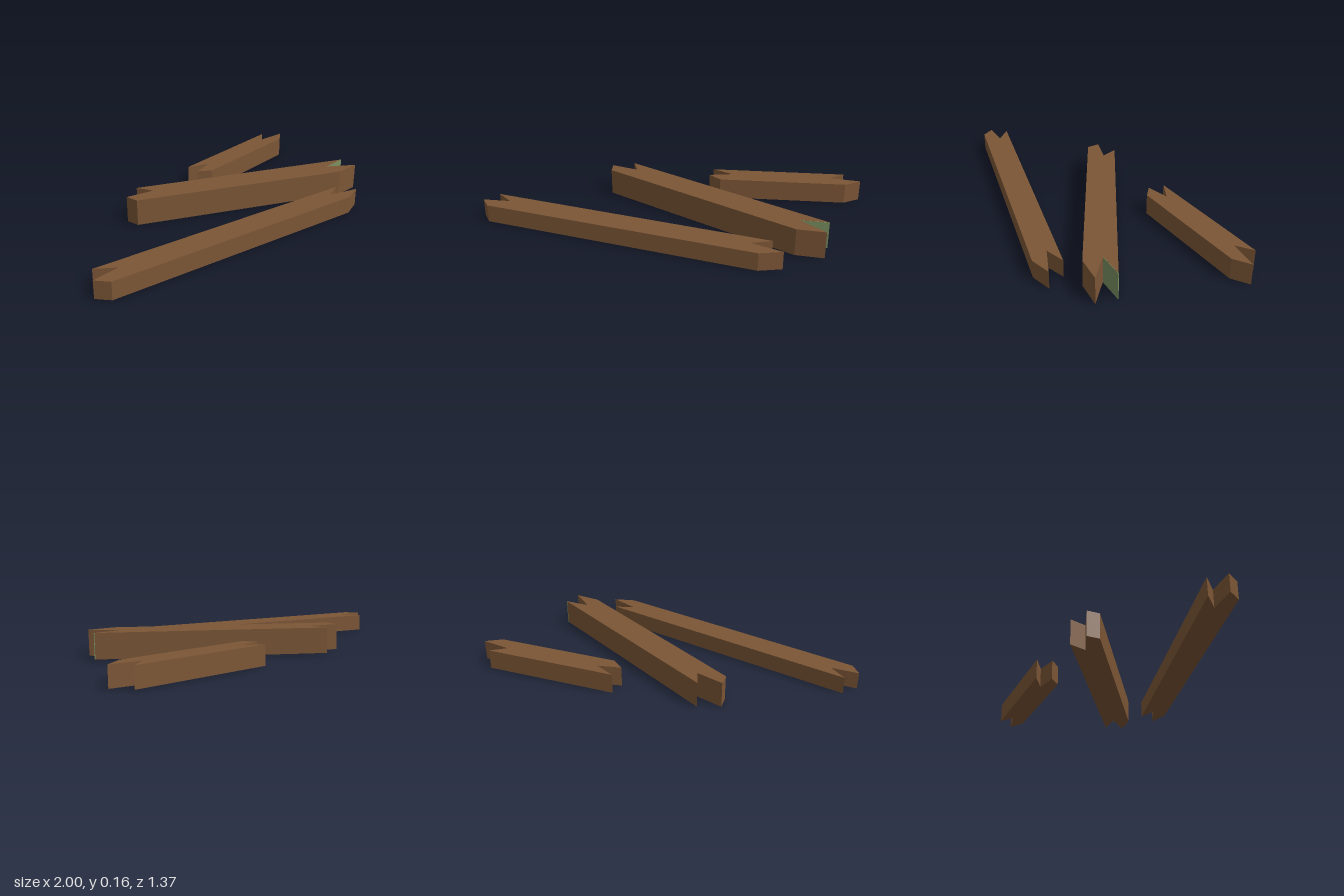
import * as THREE from 'three';

// Each plank is an [x, z] outline with splintered, notched ends, plus a height.
const planks = [
  {
    name: 'backPlank', height: 0.125,
    outline: [[0.067, -0.384], [0.853, -0.684], [0.789, -0.588], [0.976, -0.626],
      [0.906, -0.533], [0.174, -0.254], [0.083, -0.288], [0.211, -0.367]],
  },
  {
    name: 'middlePlank', height: 0.16,
    outline: [[-0.405, -0.167], [0.978, 0.079], [0.821, 0.13], [0.998, 0.2],
      [0.839, 0.24], [-0.479, 0.0], [-0.511, -0.075], [-0.334, -0.081]],
  },
  {
    name: 'frontPlank', height: 0.106,
    outline: [[-0.963, 0.522], [0.741, 0.326], [0.639, 0.402], [0.832, 0.412],
      [0.719, 0.487], [-0.926, 0.683], [-1.0, 0.627], [-0.842, 0.574]],
  },
];

export function createModel() {
  const wood = new THREE.MeshStandardMaterial({ color: 0x7c5636 });
  wood.name = 'brown wood';
  const moss = new THREE.MeshStandardMaterial({ color: 0x7a9060 });
  moss.name = 'green moss';

  const model = new THREE.Group();
  model.name = 'brokenPlanks';

  // Planks: outlines extruded upwards from the ground
  for (const { name, height, outline } of planks) {
    const shape = new THREE.Shape(outline.map(([x, z]) => new THREE.Vector2(x, -z)));
    const geometry = new THREE.ExtrudeGeometry(shape, { depth: height, bevelEnabled: false });
    geometry.rotateX(-Math.PI / 2);
    const plank = new THREE.Mesh(geometry, wood);
    plank.name = name;
    model.add(plank);
  }

  // Green face inside the right-hand notch of the middle plank
  const { outline, height } = planks[1];
  const [[tipX, tipZ], [notchX, notchZ]] = [outline[1], outline[2]];
  const dx = tipX - notchX, dz = tipZ - notchZ;
  const face = new THREE.Mesh(new THREE.BoxGeometry(Math.hypot(dx, dz), height - 0.001, 0.004), moss);
  face.name = 'mossyNotchFace';
  face.position.set((tipX + notchX) / 2, height / 2, (tipZ + notchZ) / 2);
  face.rotation.y = -Math.atan2(dz, dx);
  model.add(face);

  return model;
}
